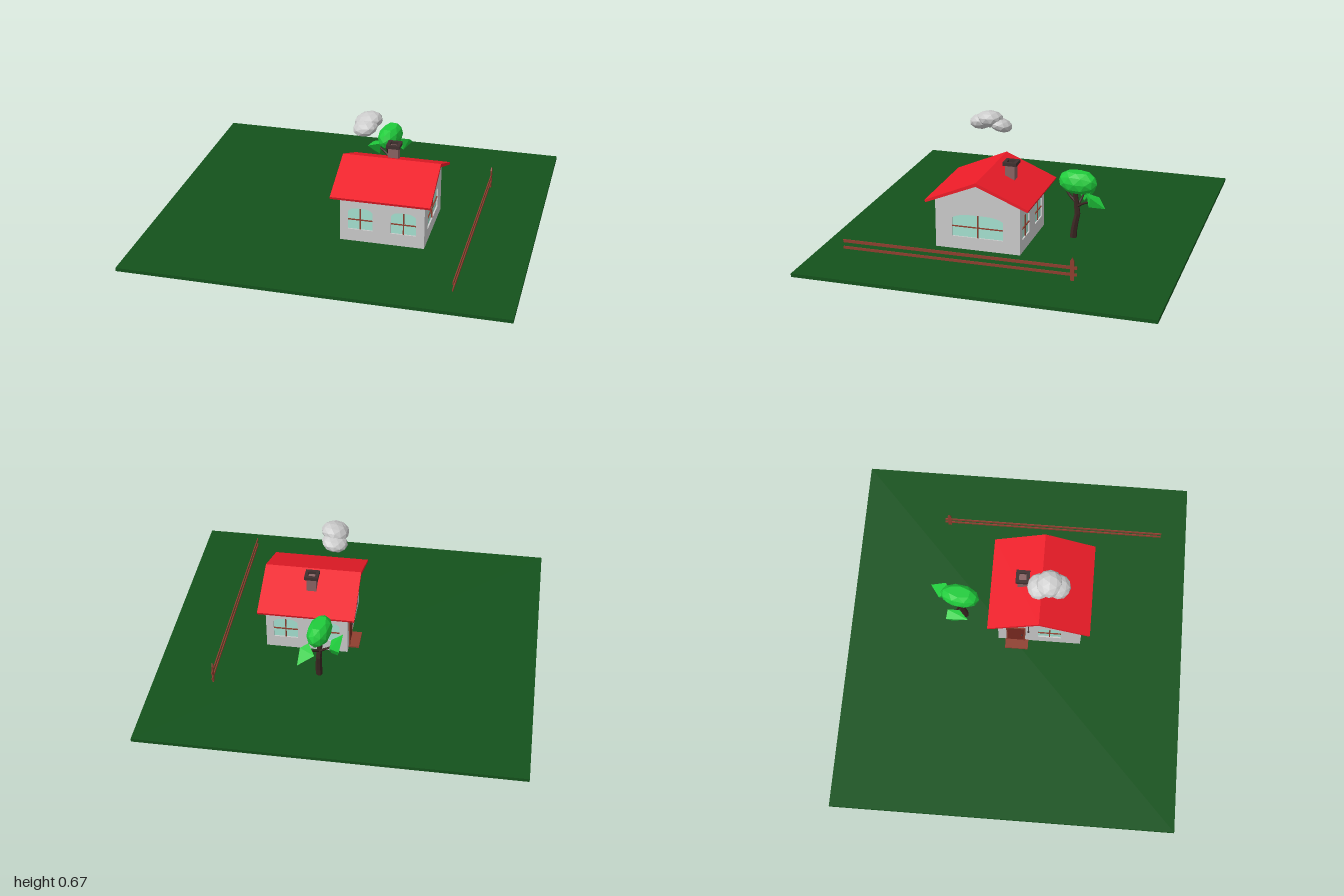
import * as THREE from 'three';
import { ConvexGeometry } from 'three/addons/geometries/ConvexGeometry.js';

const mat = (color, side = THREE.FrontSide) => new THREE.MeshStandardMaterial({ color, flatShading: true, side });
const WALL = mat(0xcccccc), GLASS = mat(0xa6e3d2, THREE.DoubleSide), WOOD = mat(0x8f3f2f), DOOR = mat(0x7a2a20);
const ROOF = mat(0xee1c28), GRASS = mat(0x14521c), BARK = mat(0x3a2622), LEAF = mat(0x20cc3c);
const BRICK = mat(0x8a6464), DARK = mat(0x40302f);

function add(parent, name, geo, material, x = 0, y = 0, z = 0) {
  const m = new THREE.Mesh(geo, material);
  m.name = name;
  m.position.set(x, y, z);
  parent.add(m);
  return m;
}
const box = (parent, name, material, w, h, d, x, y, z) =>
  add(parent, name, new THREE.BoxGeometry(w, h, d), material, x, y, z);

function polygon(points) {
  return new THREE.Shape(points.map(([x, y]) => new THREE.Vector2(x, y)));
}

// Window outline with a low arched head
function archOutline(Type, u, w, y0, y1) {
  const s = new Type(), h = w / 2, spring = y1 - 0.022;
  s.moveTo(u - h, y0);
  s.lineTo(u + h, y0);
  s.lineTo(u + h, spring);
  s.quadraticCurveTo(u + h * 0.75, y1, u + h * 0.3, y1);
  s.lineTo(u - h * 0.3, y1);
  s.quadraticCurveTo(u - h * 0.75, y1, u - h, spring);
  s.closePath();
  return s;
}

// Wall with real openings; its outer face lies at local z = 0
const T = 0.016;
function wall(parent, name, outline, windows, x, z, turn) {
  const g = new THREE.Group();
  g.name = name;
  g.position.set(x, 0, z);
  g.rotation.y = turn;
  const shape = polygon(outline);
  for (const [u, w] of windows) {
    shape.holes.push(archOutline(THREE.Path, u, w, 0.085, 0.208));
    add(g, 'windowPane', new THREE.ShapeGeometry(archOutline(THREE.Shape, u, w, 0.085, 0.208), 4), GLASS, 0, 0, -0.008);
    box(g, 'windowMullion', WOOD, 0.006, 0.121, 0.006, u, 0.146, -0.005);
    box(g, 'windowBar', WOOD, w, 0.005, 0.006, u, 0.14, -0.005);
  }
  const geo = new THREE.ExtrudeGeometry(shape, { depth: T, bevelEnabled: false, curveSegments: 4 });
  add(g, 'wallPanel', geo.translate(0, 0, -T), WALL);
  parent.add(g);
  return g;
}

function buildHouse() {
  const house = new THREE.Group();
  house.name = 'house';
  house.position.set(0.238, 0, 0.13);
  const hx = 0.222, hz = 0.227, eave = 0.283, peak = 0.379, base = 0.015;
  const long = [[-hx, base], [hx, base], [hx, eave], [-hx, eave]];
  const gable = [[-hz, base], [hz, base], [hz, eave], [0, peak], [-hz, eave]];
  const pair = [[-0.115, 0.132], [0.112, 0.132]];
  wall(house, 'frontWall', long, pair, 0, hz, 0);
  wall(house, 'backWall', long, pair, 0, -hz, Math.PI);
  wall(house, 'leftGable', gable, [[0, 0.275]], hx, 0, Math.PI / 2);
  const entry = wall(house, 'rightGable', gable, [[0.055, 0.125]], -hx, 0, -Math.PI / 2);

  // Door, frame, step and lantern
  box(entry, 'door', DOOR, 0.09, 0.185, 0.006, -0.13, 0.112, 0.001);
  for (const s of [-1, 1]) box(entry, 'doorJamb', WOOD, 0.008, 0.193, 0.012, -0.13 + s * 0.048, 0.116, 0.001);
  box(entry, 'doorLintel', WOOD, 0.104, 0.008, 0.012, -0.13, 0.209, 0.001);
  add(entry, 'doorKnob', new THREE.IcosahedronGeometry(0.005, 1), DARK, -0.097, 0.11, 0.007);
  box(entry, 'doorStep', WOOD, 0.126, 0.009, 0.056, -0.123, 0.0225, 0.028);
  box(entry, 'lanternArm', DARK, 0.004, 0.004, 0.03, -0.06, 0.235, 0.015);
  box(entry, 'lanternBracket', DARK, 0.005, 0.04, 0.004, -0.06, 0.225, 0.002);
  add(entry, 'lantern', new THREE.CylinderGeometry(0.003, 0.006, 0.012, 6), DARK, -0.06, 0.227, 0.026);

  // Folded roof slab
  const roofShape = polygon([[-0.273, 0.267], [0, 0.379], [0.273, 0.267], [0.277, 0.28], [0, 0.398], [-0.277, 0.28]]);
  const roof = new THREE.ExtrudeGeometry(roofShape, { depth: 0.522, bevelEnabled: false });
  add(house, 'roof', roof.translate(0, 0, -0.261).rotateY(Math.PI / 2), ROOF, -0.004, 0, -0.005);

  // Chimney with an open cap
  box(house, 'chimney', BRICK, 0.052, 0.1, 0.052, -0.014, 0.372, -0.109);
  const square = r => [[-r, -r], [r, -r], [r, r], [-r, r]];
  const ring = polygon(square(0.037));
  ring.holes.push(polygon(square(0.02)));
  const cap = new THREE.ExtrudeGeometry(ring, { depth: 0.018, bevelEnabled: false });
  add(house, 'chimneyCap', cap.rotateX(-Math.PI / 2), DARK, -0.014, 0.42, -0.109);
  return house;
}

// Tapered, bent limb through a few points
function limb(parent, name, points, r0, r1) {
  const curve = new THREE.CatmullRomCurve3(points.map(p => new THREE.Vector3(...p)));
  const rows = 6, sides = 6, geo = new THREE.TubeGeometry(curve, rows, 1, sides, false);
  const pos = geo.attributes.position, v = new THREE.Vector3();
  for (let i = 0; i < pos.count; i++) {
    const t = Math.floor(i / (sides + 1)) / rows, c = curve.getPointAt(t);
    v.fromBufferAttribute(pos, i).sub(c).multiplyScalar(r0 + (r1 - r0) * t).add(c);
    pos.setXYZ(i, v.x, v.y, v.z);
  }
  add(parent, name, geo, BARK);
}

function buildTree() {
  const tree = new THREE.Group();
  tree.name = 'tree';
  limb(tree, 'trunk', [[0.14, 0.01, -0.292], [0.14, 0.08, -0.298], [0.137, 0.15, -0.313], [0.133, 0.21, -0.305], [0.13, 0.29, -0.295]], 0.019, 0.012);
  limb(tree, 'frontBranch', [[0.135, 0.215, -0.305], [0.13, 0.245, -0.27], [0.125, 0.285, -0.24]], 0.009, 0.005);
  limb(tree, 'backBranch', [[0.135, 0.19, -0.31], [0.16, 0.22, -0.35], [0.19, 0.25, -0.41]], 0.008, 0.004);
  limb(tree, 'sideBranch', [[0.135, 0.19, -0.31], [0.09, 0.225, -0.325], [0.05, 0.25, -0.33]], 0.008, 0.004);

  // Flat-topped crown
  const crown = new THREE.IcosahedronGeometry(1, 1), p = crown.attributes.position;
  for (let i = 0; i < p.count; i++) p.setY(i, THREE.MathUtils.clamp(p.getY(i), -0.8, 0.8));
  const main = add(tree, 'crown', crown.scale(0.062, 0.069, 0.108), LEAF, 0.131, 0.325, -0.312);
  main.rotation.y = -0.15;

  // Angular side clumps
  const clumps = {
    sideLeaves: [[0.02, 0.25, -0.38], [0.07, 0.265, -0.375], [0.068, 0.2, -0.33], [0.015, 0.275, -0.26], [0.03, 0.205, -0.35], [0.07, 0.27, -0.31]],
    backLeaves: [[0.14, 0.255, -0.43], [0.222, 0.225, -0.482], [0.22, 0.275, -0.4], [0.18, 0.287, -0.37], [0.19, 0.213, -0.385], [0.155, 0.225, -0.4]],
  };
  for (const [name, pts] of Object.entries(clumps))
    add(tree, name, new ConvexGeometry(pts.map(q => new THREE.Vector3(...q))), LEAF);
  return tree;
}

function buildFence() {
  const fence = new THREE.Group();
  fence.name = 'fence';
  fence.position.x = 0.684;
  box(fence, 'upperRail', WOOD, 0.005, 0.016, 1.23, 0, 0.086, 0.16);
  box(fence, 'lowerRail', WOOD, 0.005, 0.014, 1.23, 0, 0.05, 0.16);
  const post = polygon([[-0.01, 0.01], [0.01, 0.01], [0.01, 0.122], [0, 0.14], [-0.01, 0.122]]);
  const geo = new THREE.ExtrudeGeometry(post, { depth: 0.007, bevelEnabled: false });
  add(fence, 'post', geo.translate(0, 0, -0.0035).rotateY(Math.PI / 2), WOOD, 0, 0, -0.43);
  return fence;
}

function buildSmoke() {
  const smoke = new THREE.Group();
  smoke.name = 'smokeCloud';
  // centre, radii, tilt about x, tilt about z
  const puffs = [
    [[0.113, 0.592, 0.112], [0.07, 0.037, 0.063], -0.25, 0.2],
    [[0.12, 0.622, 0.168], [0.074, 0.046, 0.072], 0, 0.25],
    [[0.115, 0.604, 0.216], [0.066, 0.042, 0.064], 0.15, 0.25],
  ];
  for (const [c, r, rx, rz] of puffs)
    add(smoke, 'puff', new THREE.IcosahedronGeometry(1, 1).scale(...r), WALL, ...c).rotation.set(rx, 0, rz);
  return smoke;
}

export function createModel() {
  const model = new THREE.Group();
  model.name = 'cottageScene';
  box(model, 'lawn', GRASS, 2, 0.018, 1.84, 0, 0.009, 0);
  model.add(buildHouse(), buildTree(), buildFence(), buildSmoke());
  return model;
}
